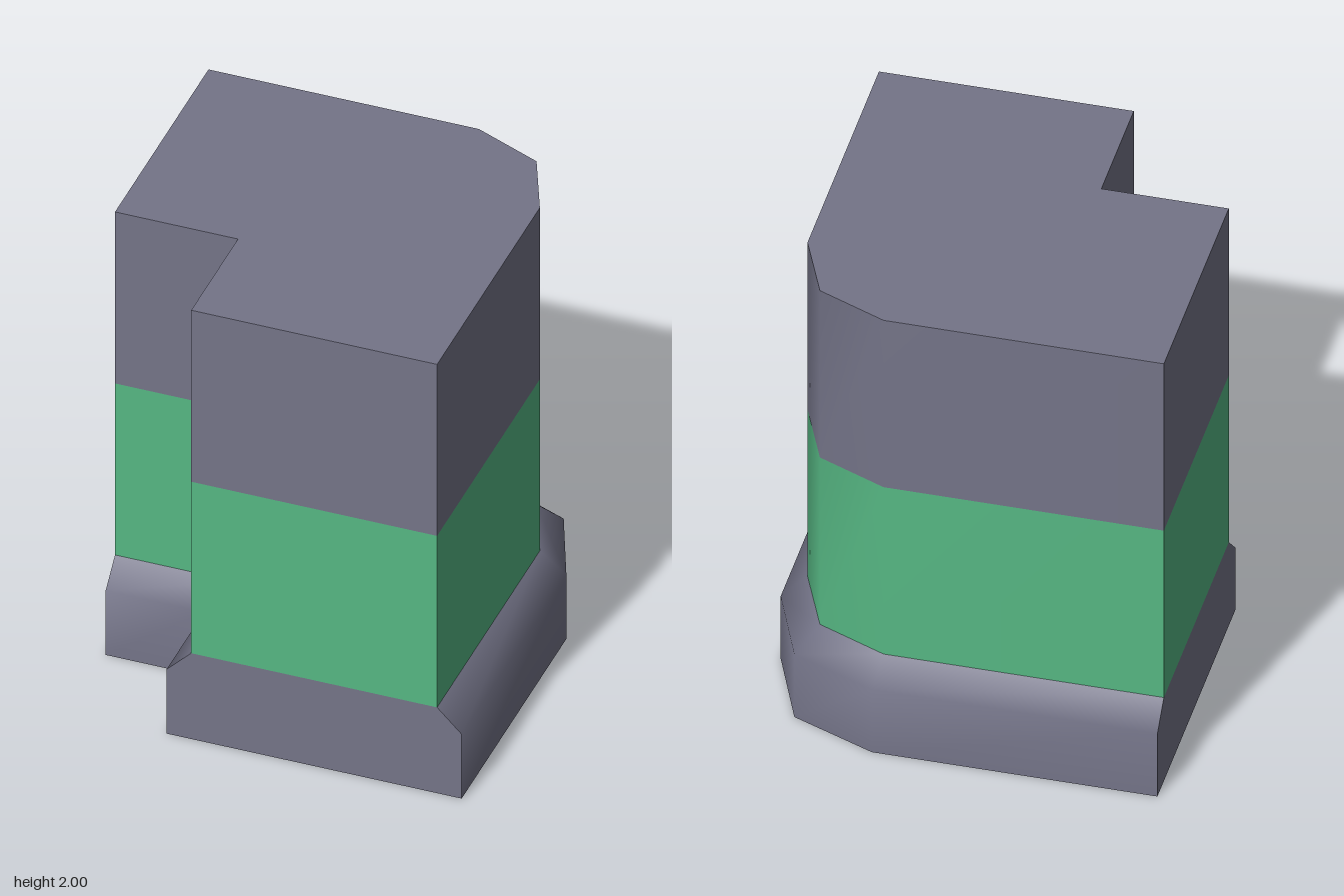
import * as THREE from 'three';

const grey = new THREE.MeshStandardMaterial({ color: 0x747488 });
grey.name = 'slate grey';
const green = new THREE.MeshStandardMaterial({ color: 0x56b783 });
green.name = 'green';

// Plan outlines as [x, z]: five points round the outer corner, then the inner notch
const plinthPlan = [[-0.8, -0.8], [0.32, -0.8], [0.66, -0.66], [0.8, -0.32], [0.8, 0.8],
  [-0.4, 0.8], [-0.4, 0.4], [-0.8, 0.4]];
const wallPlan = [[-0.8, -0.7], [0.3, -0.7], [0.58, -0.58], [0.7, -0.3], [0.7, 0.8],
  [-0.3, 0.8], [-0.3, 0.3], [-0.8, 0.3]];

// Runs of outline points that shade as one surface
const runs = {
  outerFace: [0, 1, 2, 3, 4],
  frontEnd: [4, 5],
  notchSide: [5, 6],
  notchBack: [6, 7],
  sideEnd: [7, 0],
};

// Smooth strip through stacked rings, each ring being [y, plan]
function strip(rings, run) {
  const position = [], index = [], n = run.length;
  rings.forEach(([y, plan], r) => {
    run.forEach((p, i) => {
      position.push(plan[p][0], y, plan[p][1]);
      if (r && i) {
        const d = r * n + i, c = d - 1, b = d - n, a = b - 1;
        index.push(a, c, b, b, c, d);
      }
    });
  });
  const geometry = new THREE.BufferGeometry();
  geometry.setAttribute('position', new THREE.Float32BufferAttribute(position, 3));
  geometry.setIndex(index);
  geometry.computeVertexNormals();
  return geometry;
}

// Flat cap facing up (side = 1) or down (side = -1)
function cap(plan, y, side) {
  const shape = new THREE.Shape(plan.map(([x, z]) => new THREE.Vector2(x, -side * z)));
  return new THREE.ShapeGeometry(shape).rotateX(-side * Math.PI / 2).translate(0, y, 0);
}

function addMesh(parent, name, geometry, material) {
  const mesh = new THREE.Mesh(geometry, material);
  mesh.name = name;
  parent.add(mesh);
}

function band(name, rings, material) {
  const group = new THREE.Group();
  group.name = name;
  for (const [part, run] of Object.entries(runs)) addMesh(group, part, strip(rings, run), material);
  return group;
}

export function createModel() {
  const model = new THREE.Group();
  model.name = 'cornerWall';

  // Plinth with a sloping upper edge
  const plinth = band('plinth', [[0, plinthPlan], [0.3, plinthPlan], [0.4, wallPlan]], grey);
  addMesh(plinth, 'underside', cap(plinthPlan, 0, -1), grey);

  // Green lower wall and grey upper wall
  const lowerWall = band('lowerWall', [[0.4, wallPlan], [1.2, wallPlan]], green);
  const upperWall = band('upperWall', [[1.2, wallPlan], [2, wallPlan]], grey);
  addMesh(upperWall, 'top', cap(wallPlan, 2, 1), grey);

  model.add(plinth, lowerWall, upperWall);
  return model;
}
